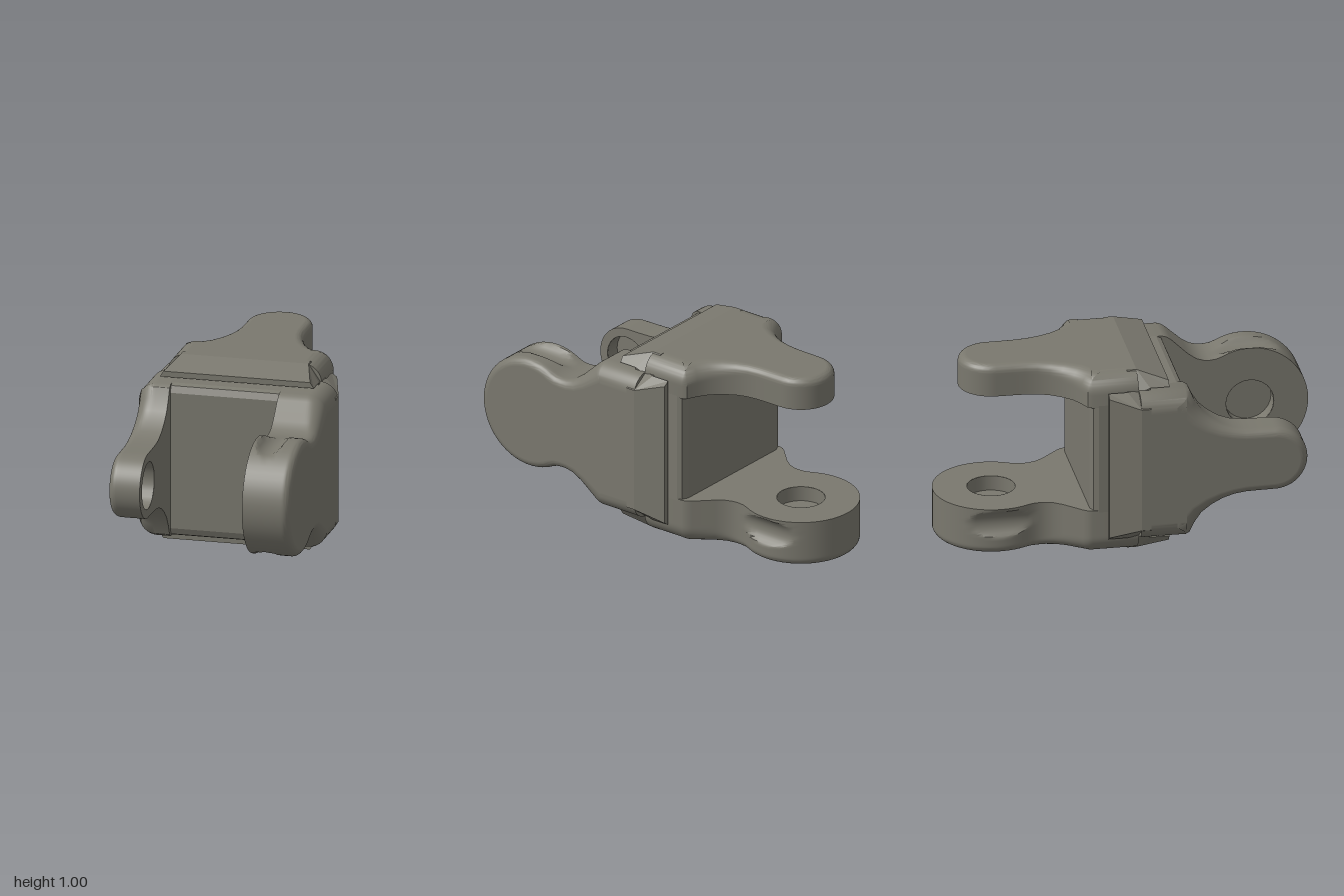
import * as THREE from 'three';
import { toCreasedNormals } from 'three/addons/utils/BufferGeometryUtils.js';

const material = new THREE.MeshStandardMaterial({ color: 0x7a786e, side: THREE.DoubleSide });

const BASE = 0.41;   // half width of a fork at its root
const PIVOT = 0.7;   // z of the ear's round end
const HOLE = 0.125;

function add(parent, geometry, name) {
  const mesh = new THREE.Mesh(geometry, material);
  mesh.name = name;
  parent.add(mesh);
  return mesh;
}

// Half outline [u, z] of an ear: root points, then an arc up to the tip
function halfOutline(points, radius, startAngle) {
  const out = points.map(([u, z]) => new THREE.Vector2(u, z));
  for (let i = 0; i <= 18; i++) {
    const a = THREE.MathUtils.lerp(startAngle, Math.PI / 2, i / 18);
    out.push(new THREE.Vector2(radius * Math.cos(a), PIVOT + radius * Math.sin(a)));
  }
  return out;
}

// Ring of the ear at depth t, with the outer edge rounded and the thumb groove cut
function earRing(half, thickness, t, grooved) {
  const right = half.map((p, i) => {
    const prev = half[Math.max(i - 1, 0)];
    const next = half[Math.min(i + 1, half.length - 1)];
    const n = new THREE.Vector2(next.y - prev.y, prev.x - next.x).normalize();
    if (i === 0) n.set(1, 0);
    if (i === half.length - 1) n.set(0, 1);
    const r = THREE.MathUtils.lerp(0.1, 0.042, THREE.MathUtils.smoothstep(p.y, 0.22, 0.5));
    const d = Math.max(0, t - (thickness - r));
    const inset = r - Math.sqrt(Math.max(0, r * r - d * d));
    const q = p.clone().addScaledVector(n, -inset);
    const g = t - 0.085;
    if (grooved && p.y > 0.5 && Math.abs(g) < 0.081) {
      q.x = Math.min(q.x, 0.34 - Math.sqrt(0.081 * 0.081 - g * g));
    }
    return q;
  });
  const left = right.slice(0, -1).reverse().map((p) => new THREE.Vector2(-p.x, p.y));
  return right.concat(left);
}

// Flat face lying in the y-z plane at x = t
function flatFace(ring, t, hole) {
  const shape = new THREE.Shape(ring);
  if (hole) shape.holes.push(new THREE.Path().absarc(0, PIVOT, HOLE, 0, Math.PI * 2, true));
  const geometry = new THREE.ShapeGeometry(shape, 24);
  const m = new THREE.Matrix4().set(0, 0, 1, t, 1, 0, 0, 0, 0, 1, 0, 0, 0, 0, 0, 1);
  return geometry.applyMatrix4(m);
}

// Ear growing toward +x from its inner face, with a blind pin hole inside
function makeEar(name, half, thickness, grooved) {
  const ear = new THREE.Group();
  ear.name = name;
  const steps = 26;
  const rings = [];
  for (let i = 0; i <= steps; i++) {
    const t = thickness * Math.sin((Math.PI / 2) * (i / steps));
    rings.push({ t, ring: earRing(half, thickness, t, grooved) });
  }
  const count = rings[0].ring.length;
  const positions = [];
  const index = [];
  rings.forEach(({ t, ring }) => ring.forEach((p) => positions.push(t, p.x, p.y)));
  for (let i = 0; i < steps; i++) {
    for (let j = 0; j < count; j++) {
      const k = (j + 1) % count;
      const a = i * count + j, b = i * count + k;
      index.push(a, b, b + count, a, b + count, a + count);
    }
  }
  const rim = new THREE.BufferGeometry();
  rim.setAttribute('position', new THREE.Float32BufferAttribute(positions, 3));
  rim.setIndex(index);
  add(ear, toCreasedNormals(rim, 0.6), 'earRim');
  add(ear, flatFace(rings[0].ring, 0, true), 'earInnerFace');
  add(ear, flatFace(rings[steps].ring, thickness, false), 'earOuterFace');

  // Blind pin hole
  const depth = 0.08;
  const wall = new THREE.CylinderGeometry(HOLE, HOLE, depth, 24, 1, true);
  wall.rotateZ(Math.PI / 2).translate(depth / 2, 0, PIVOT);
  add(ear, wall, 'pinHoleWall');
  const floor = new THREE.CircleGeometry(HOLE, 24);
  floor.rotateY(-Math.PI / 2).translate(depth, 0, PIVOT);
  add(ear, floor, 'pinHoleFloor');
  return ear;
}

// Block joining the two ears, with chamfered front edges
function makeBridge() {
  const shape = new THREE.Shape([
    [0.06, -BASE], [0.06, BASE], [-0.21, BASE], [-0.235, 0.4],
    [-0.25, 0.365], [-0.25, -0.365], [-0.235, -0.4], [-0.21, -BASE],
  ].map(([x, y]) => new THREE.Vector2(x, y)));
  const geometry = new THREE.ExtrudeGeometry(shape, { depth: 0.6, bevelEnabled: false });
  return geometry.rotateY(Math.PI / 2).translate(-0.34, 0, 0);
}

// Tapered lip that overlaps the other fork, its ends cut at the corners
function makeLip() {
  const shape = new THREE.Shape([
    [0.38, 0.05], [0.5, 0.05], [0.5, 0], [0.45, -0.16],
    [0.42, -0.16], [0.42, -0.06], [0.38, -0.06],
  ].map(([x, z]) => new THREE.Vector2(x, -z)));
  const geometry = new THREE.ExtrudeGeometry(shape, { depth: 2 * BASE, bevelEnabled: false });
  geometry.rotateX(-Math.PI / 2).translate(0, -BASE, 0);
  const p = geometry.attributes.position;
  for (let i = 0; i < p.count; i++) {
    p.setY(i, Math.sign(p.getY(i)) * Math.min(BASE, 0.84 - p.getX(i)));
  }
  geometry.computeVertexNormals();
  return geometry;
}

function makeFork(name) {
  const fork = new THREE.Group();
  fork.name = name;
  add(fork, makeBridge(), 'bridge');
  for (const turn of [0, Math.PI]) {
    add(fork, makeLip(), 'lip').rotation.z = turn;
  }

  const wide = halfOutline([
    [BASE, 0], [BASE, 0.24], [0.402, 0.265], [0.385, 0.288], [0.3, 0.375],
    [0.268, 0.42], [0.255, 0.46], [0.253, 0.49], [0.257, 0.525],
  ], 0.305, -0.495);
  const large = makeEar('largeEar', wide, 0.25, true);
  large.position.x = 0.25;

  const narrow = halfOutline([
    [BASE, 0], [BASE, 0.24], [0.395, 0.265], [0.34, 0.29], [0.285, 0.325],
    [0.24, 0.375], [0.205, 0.43], [0.183, 0.49], [0.175, 0.55], [0.173, 0.62],
  ], 0.172, 0);
  const small = makeEar('smallEar', narrow, 0.17, false);
  small.position.x = -0.33;
  small.rotation.z = Math.PI;

  fork.add(large, small);
  return fork;
}

export function createModel() {
  const model = new THREE.Group();
  model.name = 'doubleForkLink';
  const front = makeFork('frontFork');
  // The rear fork is the same part, flipped and turned a quarter
  const rear = makeFork('rearFork');
  rear.quaternion.setFromAxisAngle(new THREE.Vector3(1, -1, 0).normalize(), Math.PI);
  front.position.y = rear.position.y = 0.5;
  model.add(front, rear);
  return model;
}
